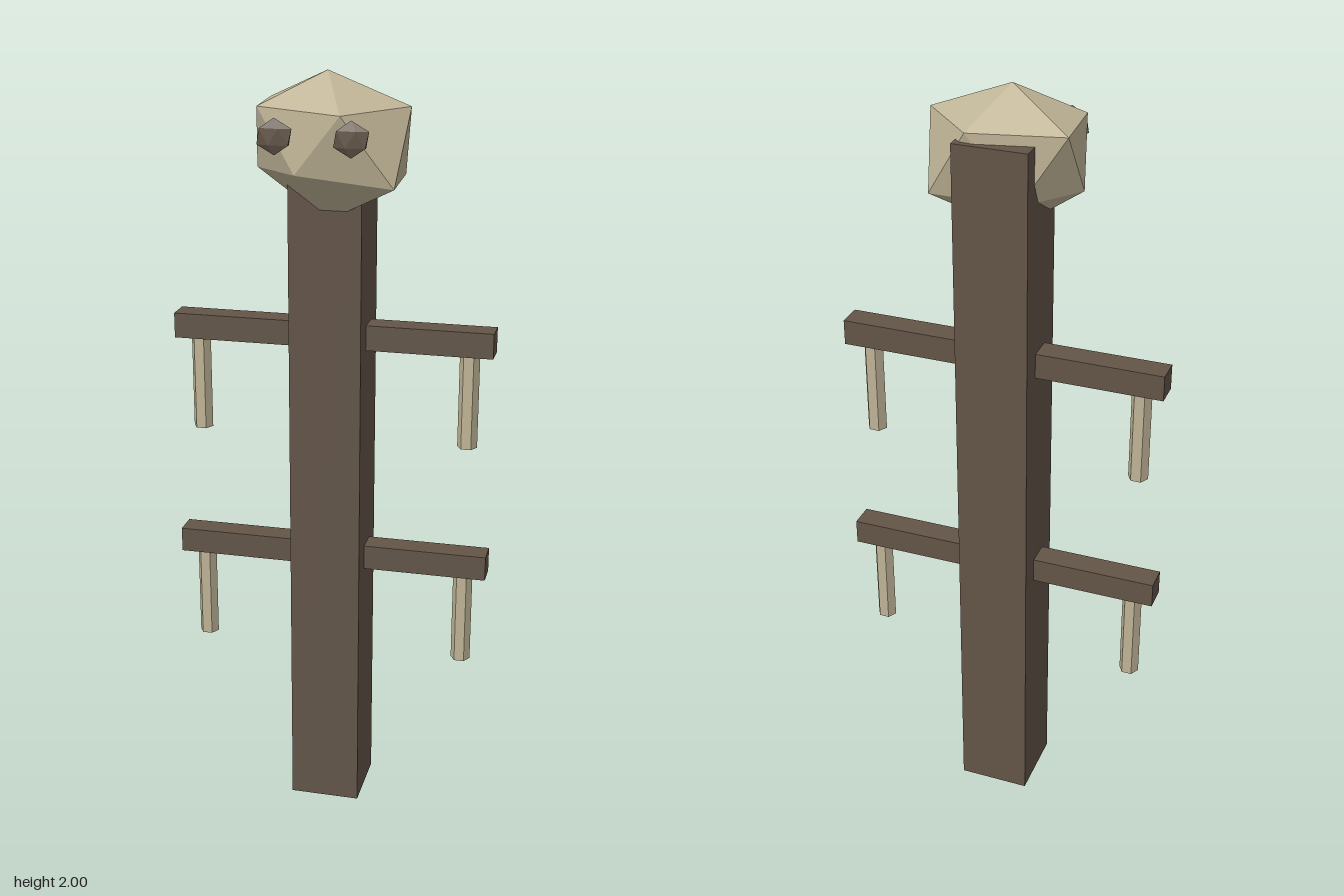
import * as THREE from 'three';
import { ConvexGeometry } from 'three/addons/geometries/ConvexGeometry.js';

const wood = new THREE.MeshStandardMaterial({ color: 0x635548, flatShading: true });
wood.name = 'darkWood';
const bone = new THREE.MeshStandardMaterial({ color: 0xbfb496, flatShading: true });
bone.name = 'paleBone';

const hull = (points) => new ConvexGeometry(points.map((p) => new THREE.Vector3(...p)));

// Unit icosahedron standing on a corner, with one upper corner on +x
function icosahedron() {
  const points = [[0, 1, 0], [0, -1, 0]];
  for (let i = 0; i < 10; i++) {
    const a = (i * Math.PI) / 5;
    points.push([0.894 * Math.cos(a), i % 2 ? -0.447 : 0.447, 0.894 * Math.sin(a)]);
  }
  return hull(points);
}

export function createModel() {
  const model = new THREE.Group();
  model.name = 'totemPole';

  const add = (name, geometry, material, x, y, z) => {
    const mesh = new THREE.Mesh(geometry, material);
    mesh.name = name;
    mesh.position.set(x, y, z);
    model.add(mesh);
    return mesh;
  };

  // Upright post
  add('post', new THREE.BoxGeometry(0.187, 1.895, 0.188), wood, -0.001, 0.9475, -0.066);

  // Two crossbars, each with a hanging peg at both ends
  for (const [level, y] of [['upper', 1.329], ['lower', 0.717]]) {
    add(level + 'Crossbar', new THREE.BoxGeometry(0.84, 0.066, 0.066), wood, 0, y, -0.067);
    for (const side of [-1, 1]) {
      const peg = new THREE.CylinderGeometry(0.026, 0.026, 0.25, 6, 1, false, Math.PI / 6);
      add(level + (side > 0 ? 'Left' : 'Right') + 'Peg', peg, bone, side * 0.357, y - 0.158, -0.064);
    }
  }

  // Roughly cut head: crown, upper ring, lower ring, chin
  const head = hull([
    [0, 2, -0.005],
    [0.206, 1.92, -0.005], [0.063, 1.913, 0.14], [-0.156, 1.92, 0.076],
    [-0.168, 1.92, -0.096], [0.063, 1.92, -0.15],
    [0.185, 1.737, 0.092], [-0.055, 1.765, 0.116], [-0.179, 1.76, -0.005],
    [-0.06, 1.75, -0.125], [0.177, 1.74, -0.1],
    [0, 1.635, 0],
  ]);
  add('head', head, bone, 0, 0, 0);

  // Flat faceted eyes just in front of the face
  for (const side of [-1, 1]) {
    const eye = add(side > 0 ? 'leftEye' : 'rightEye', icosahedron(), wood, side * 0.093, 1.862, 0.151);
    eye.scale.set(0.048, 0.044, 0.011);
  }

  return model;
}
